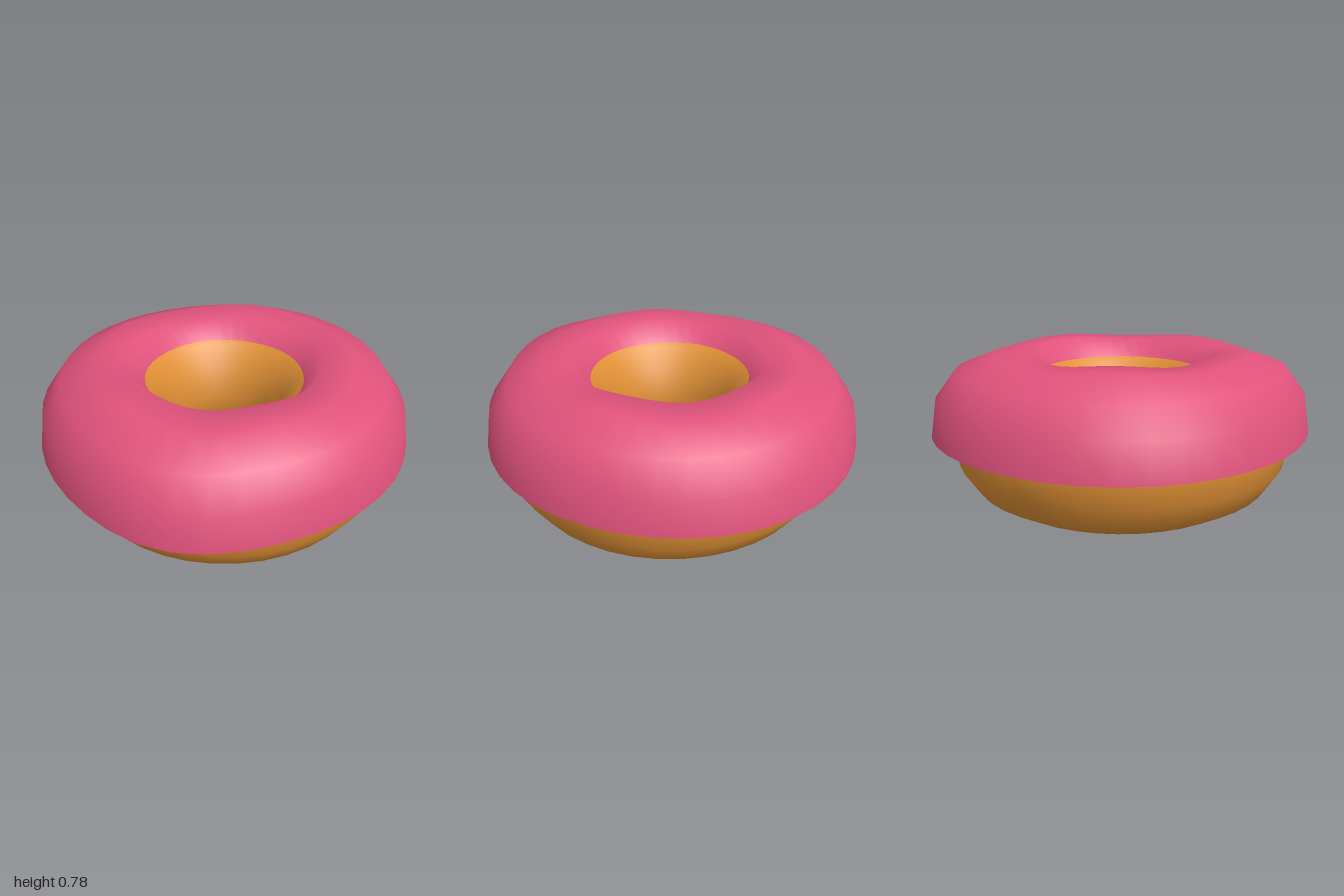
import * as THREE from 'three';
import { mergeVertices } from 'three/addons/utils/BufferGeometryUtils.js';

const SIDES = 40;      // steps around the ring
const STEPS = 14;      // steps around the tube
const R = 0.595;       // ring radius
const MID = 0.37;      // height of the ring's middle

// Point i of the oval tube section, counted from the outer side upwards
function sectionPoint(i, rx, ry) {
  const t = (i / STEPS) * Math.PI * 2;
  return new THREE.Vector2(R + rx * Math.cos(t), MID + ry * Math.sin(t));
}

// Turned surface with shared vertices, optionally reshaped, with smooth normals
function turned(points, reshape) {
  let geo = new THREE.LatheGeometry(points, SIDES);
  geo.deleteAttribute('uv');
  geo.deleteAttribute('normal');
  geo = mergeVertices(geo, 1e-4);
  if (reshape) {
    const pos = geo.attributes.position;
    const v = new THREE.Vector3();
    for (let i = 0; i < pos.count; i++) {
      reshape(v.fromBufferAttribute(pos, i));
      pos.setXYZ(i, v.x, v.y, v.z);
    }
  }
  geo.computeVertexNormals();
  return geo;
}

// Uneven swellings of the icing: [angle in degrees, amount, spread]
const SWELLS = [[118, 0.068, 17], [-46, 0.038, 25], [-135, 0.035, 25], [-90, 0.01, 20]];

function swell(angle) {
  const deg = THREE.MathUtils.radToDeg(angle);
  return SWELLS.reduce((sum, [at, amount, spread]) => {
    const d = THREE.MathUtils.euclideanModulo(deg - at + 180, 360) - 180;
    return sum + amount * Math.exp(-0.5 * (d / spread) ** 2);
  }, 0);
}

function shapeIcing(v) {
  const angle = Math.atan2(v.z, v.x);
  const r = Math.hypot(v.x, v.z);
  // Swell the outer side, leave the hole round
  const outer = THREE.MathUtils.smoothstep(r, 0.55, 0.9);
  const k = 1 + swell(angle) * outer;
  v.x *= k;
  v.z *= k;
  // Gentle waves over the crown
  if (v.y > 0.75) v.y += 0.01 * Math.sin(5 * angle + 0.6);
}

export function createModel() {
  const model = new THREE.Group();
  model.name = 'donut';

  // Dough: full ring
  const doughPoints = [];
  for (let i = 0; i <= STEPS; i++) doughPoints.push(sectionPoint(i + 4, 0.32, 0.375));
  const dough = new THREE.Mesh(
    turned(doughPoints),
    new THREE.MeshStandardMaterial({ color: 0xe09035 })
  );
  dough.name = 'dough';

  // Icing: open shell from the outer rim over the crown to the hole
  const icingPoints = [];
  for (let i = 0; i <= 4; i++) icingPoints.push(sectionPoint(i, 0.39, 0.42));
  icingPoints[1].x += 0.012;
  icingPoints[2].x += 0.018;
  icingPoints.push(new THREE.Vector2(0.415, 0.67));
  const icing = new THREE.Mesh(
    turned(icingPoints, shapeIcing),
    new THREE.MeshStandardMaterial({ color: 0xe0527c, side: THREE.DoubleSide })
  );
  icing.name = 'icing';

  model.add(dough, icing);
  return model;
}
